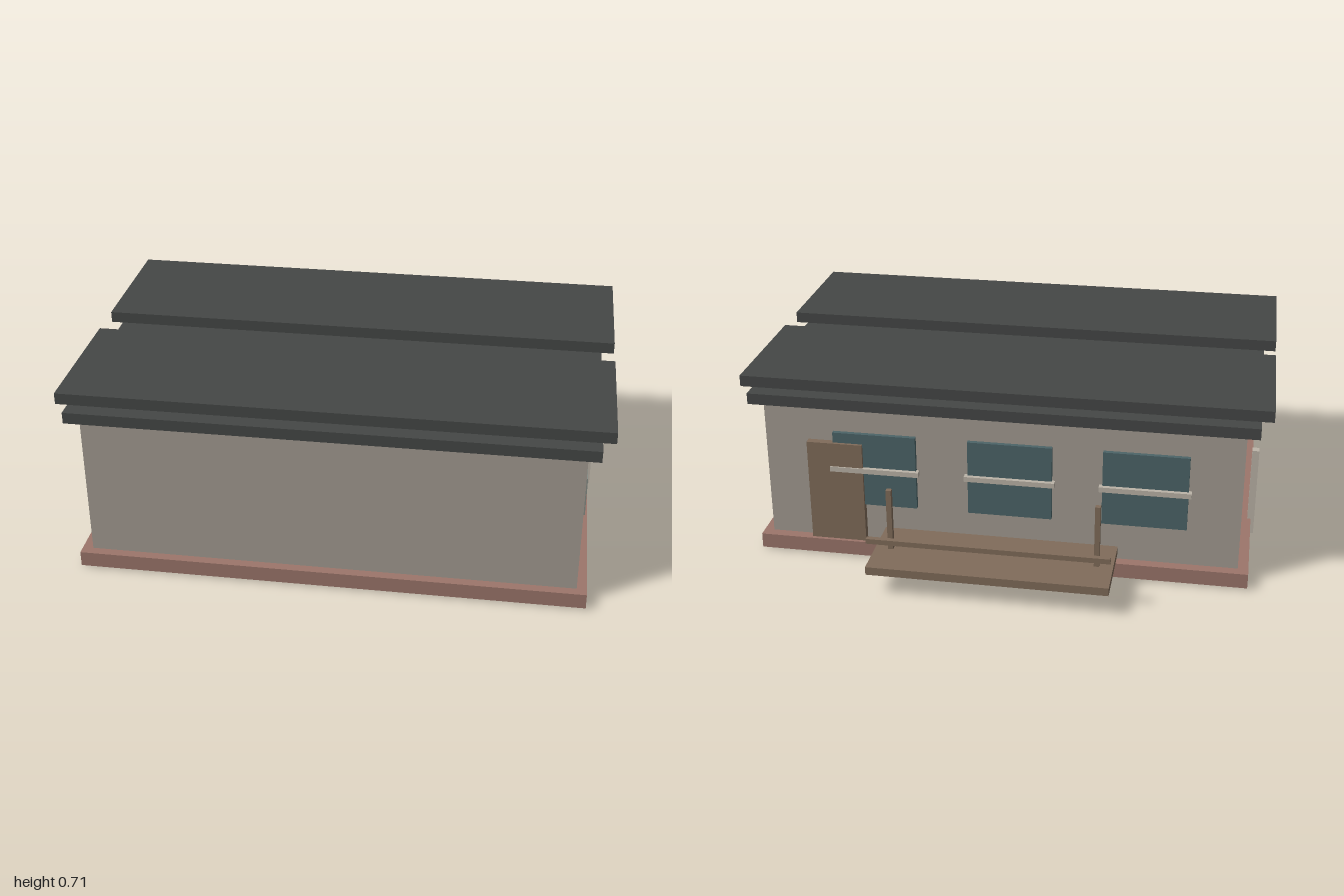
import * as THREE from 'three';

const material = (color) => new THREE.MeshStandardMaterial({ color });

export function createModel() {
  const house = new THREE.Group();
  house.name = 'house';

  const wall = material(0xa39c92);
  const brick = material(0x9c766b);
  const roof = material(0x454746);
  const wood = material(0x806c5a);
  const glass = material(0x4c6468);
  const paleGlass = material(0x858b85);
  const pale = material(0xbcb4a8);

  // Box given by its extents on each axis
  const box = (name, mat, [x0, x1], [y0, y1], [z0, z1]) => {
    const mesh = new THREE.Mesh(new THREE.BoxGeometry(x1 - x0, y1 - y0, z1 - z0), mat);
    mesh.position.set((x0 + x1) / 2, (y0 + y1) / 2, (z0 + z1) / 2);
    mesh.name = name;
    house.add(mesh);
  };

  // Body and plinth; the body reaches just below the plinth
  box('walls', wall, [-0.908, 0.908], [0, 0.62], [-0.5, 0.77]);
  box('plinth', brick, [-0.948, 0.945], [0.006, 0.065], [-0.54, 0.805]);

  // Roof slab with two raised panels
  box('roofSlab', roof, [-0.955, 0.953], [0.627, 0.67], [-0.55, 0.81]);
  box('roofPanelBack', roof, [-1, 1], [0.67, 0.713], [-0.487, 0.057]);
  box('roofPanelFront', roof, [-1, 1], [0.67, 0.713], [0.207, 0.75]);

  // Side window and side posts
  box('sideWindow', paleGlass, [0.9, 0.93], [0.15, 0.313], [0.295, 0.41]);
  box('sidePostLeft', pale, [0.93, 0.958], [0, 0.367], [-0.1, -0.068]);
  box('sidePostRight', pale, [-0.962, -0.935], [0, 0.367], [-0.1, -0.068]);

  // Back windows, each with a bar across
  for (const x of [0.48, -0.04, -0.55]) {
    box('backWindow', glass, [x - 0.16, x + 0.16], [0.22, 0.517], [-0.517, -0.49]);
    box('windowBar', pale, [x - 0.172, x + 0.172], [0.36, 0.38], [-0.533, -0.507]);
  }

  // Back door
  box('door', wood, [0.525, 0.74], [0.066, 0.476], [-0.528, -0.495]);

  // Porch deck, posts and low rail
  box('deck', wood, [-0.454, 0.45], [0.088, 0.12], [-0.812, -0.505]);
  for (const x of [-0.392, 0.39]) {
    box('deckPost', wood, [x - 0.01, x + 0.01], [0.12, 0.367], [-0.667, -0.647]);
  }
  box('deckRail', wood, [-0.454, 0.45], [0.205, 0.225], [-0.786, -0.766]);

  return house;
}
